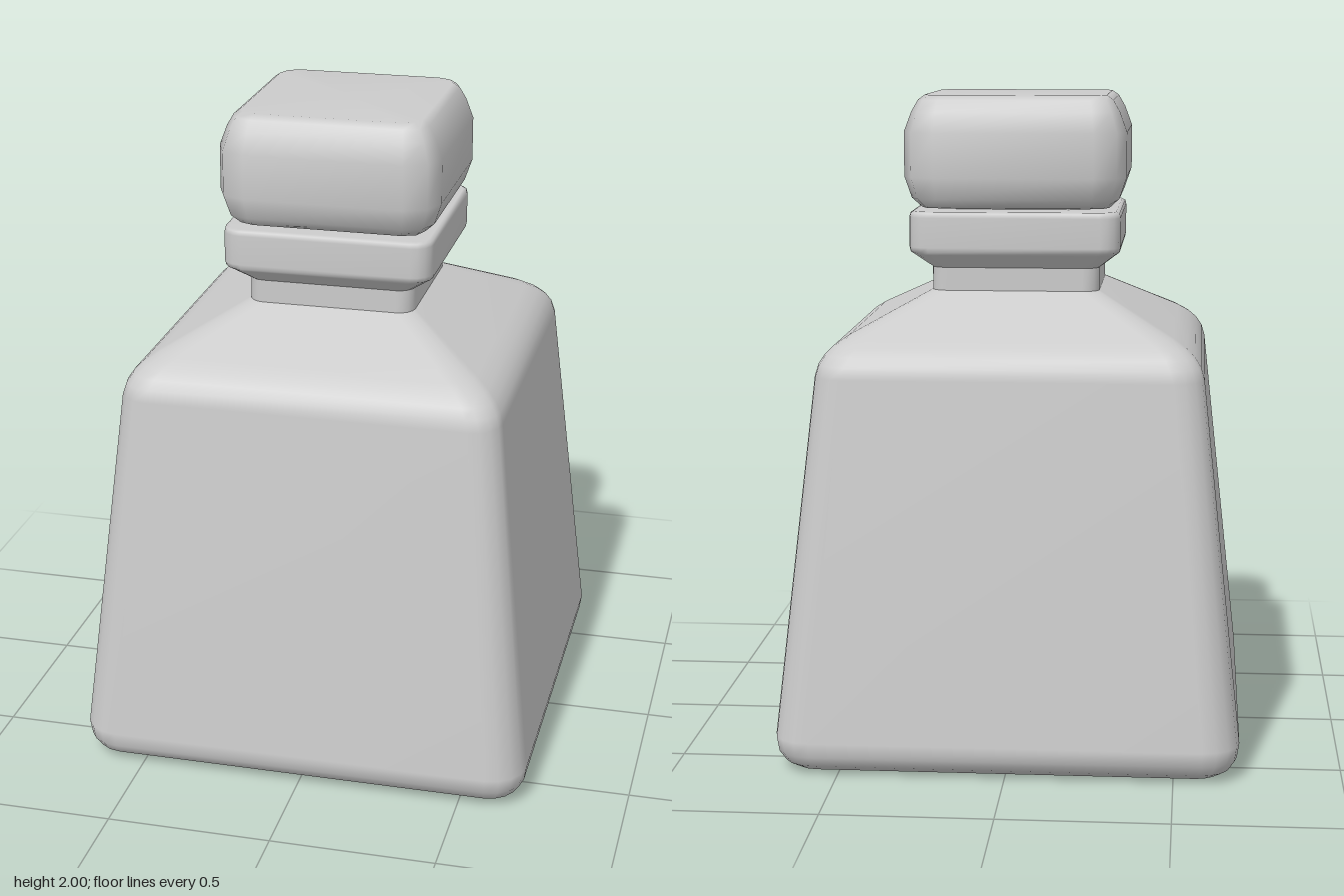
import * as THREE from 'three';

const material = new THREE.MeshStandardMaterial({ color: 0xcccccc });

// Rounded-square loft. Each strip is a smooth run of [halfWidth, y, cornerRadius];
// separate strips meet at a sharp edge.
function squareLoft(name, strips, cornerSteps) {
  const positions = [];
  const index = [];
  const count = 4 * (cornerSteps + 1);
  for (const strip of strips) {
    const base = positions.length / 3;
    for (const [half, y, radius] of strip) {
      for (let corner = 0; corner < 4; corner++) {
        const sx = corner === 0 || corner === 3 ? 1 : -1;
        const sz = corner < 2 ? 1 : -1;
        for (let k = 0; k <= cornerSteps; k++) {
          const a = (corner + k / cornerSteps) * Math.PI / 2;
          positions.push(
            sx * (half - radius) + radius * Math.cos(a),
            y,
            sz * (half - radius) + radius * Math.sin(a)
          );
        }
      }
    }
    for (let i = 0; i < strip.length - 1; i++) {
      for (let j = 0; j < count; j++) {
        const a = base + i * count + j;
        const b = base + i * count + (j + 1) % count;
        index.push(a, a + count, b, b, a + count, b + count);
      }
    }
  }
  const geometry = new THREE.BufferGeometry();
  geometry.setAttribute('position', new THREE.Float32BufferAttribute(positions, 3));
  geometry.setIndex(index);
  geometry.computeVertexNormals();
  const mesh = new THREE.Mesh(geometry, material);
  mesh.name = name;
  return mesh;
}

export function createModel() {
  const group = new THREE.Group();
  group.name = 'squareBottle';

  // Tapered body with rounded base and sloping shoulders
  group.add(squareLoft('body', [
    [
      [0, 0, 0], [0.595, 0, 0.04], [0.635, 0.008, 0.07], [0.667, 0.028, 0.09],
      [0.688, 0.06, 0.105], [0.695, 0.105, 0.11],
      [0.578, 1.18, 0.09], [0.568, 1.215, 0.09], [0.55, 1.243, 0.085],
      [0.525, 1.267, 0.08], [0.485, 1.293, 0.075], [0.255, 1.41, 0.05]
    ]
  ], 4));

  // Narrow neck
  group.add(squareLoft('neck', [
    [[0.255, 1.405, 0.05], [0.255, 1.48, 0.05]]
  ], 4));

  // Flared collar around the mouth
  group.add(squareLoft('collar', [
    [[0.255, 1.48, 0.05], [0.307, 1.522, 0.06]],
    [[0.307, 1.522, 0.06], [0.317, 1.53, 0.06], [0.32, 1.545, 0.06],
      [0.32, 1.635, 0.06], [0.317, 1.648, 0.06], [0.307, 1.653, 0.055], [0.2, 1.653, 0.04]]
  ], 4));

  // Plug joining the stopper to the mouth
  group.add(squareLoft('stopperPlug', [
    [[0.2, 1.6, 0.04], [0.2, 1.67, 0.04]]
  ], 4));

  // Faceted stopper
  group.add(squareLoft('stopper', [
    [
      [0, 1.662, 0], [0.285, 1.662, 0.06], [0.315, 1.69, 0.08], [0.337, 1.755, 0.097],
      [0.337, 1.89, 0.097], [0.315, 1.95, 0.08], [0.295, 1.985, 0.065],
      [0.275, 2, 0.055], [0, 2, 0]
    ]
  ], 2));

  return group;
}
